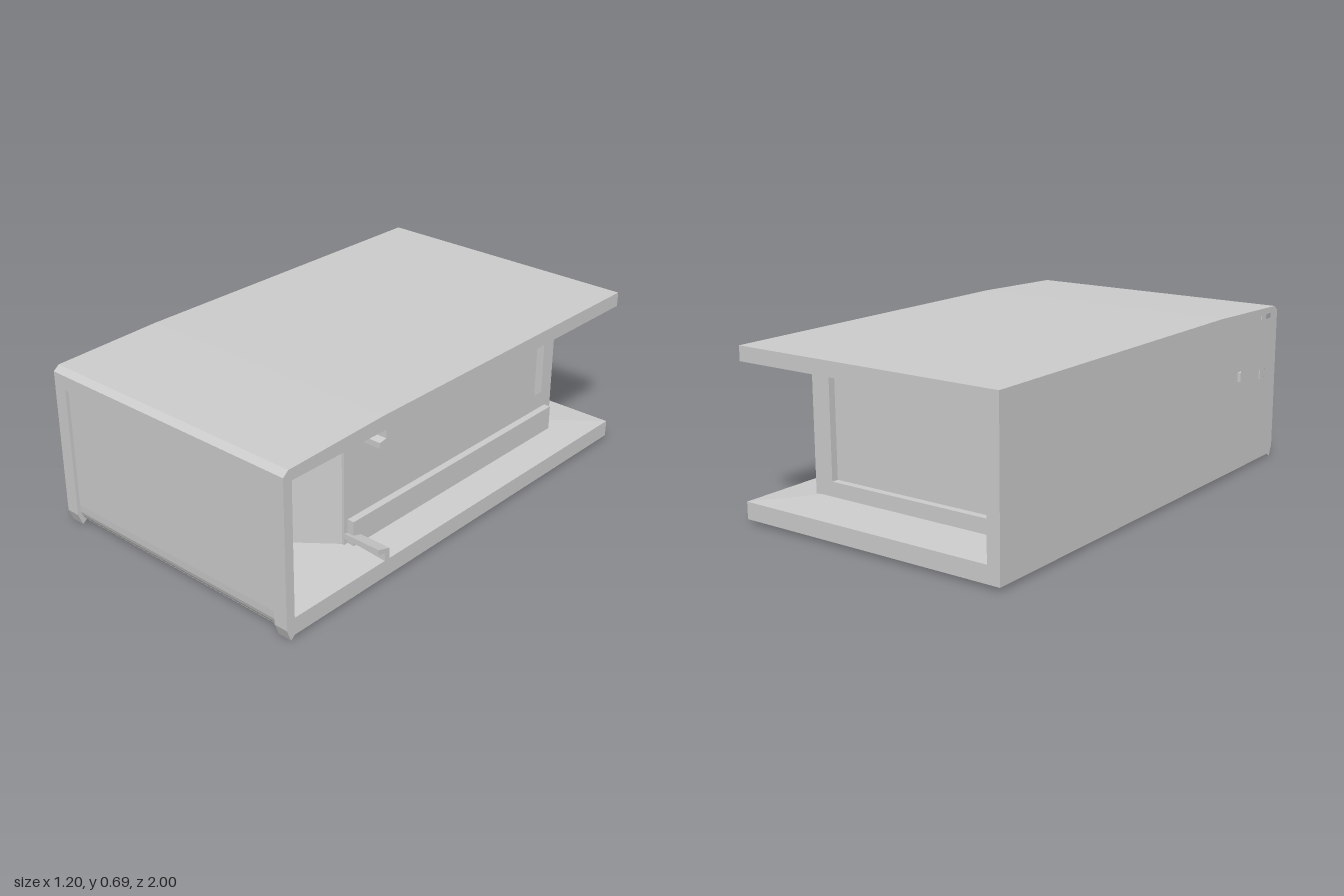
import * as THREE from 'three';

const material = new THREE.MeshStandardMaterial({ color: 0xcccccc });
const thinMaterial = new THREE.MeshStandardMaterial({ color: 0xcccccc, side: THREE.DoubleSide });

const rect = (u0, u1, v0, v1) => [[u0, v0], [u1, v0], [u1, v1], [u0, v1]];
const toVectors = (pts, sign) => pts.map(([u, v]) => new THREE.Vector2(sign[0] * u, sign[1] * v));

function extrude(pts, depth, holes, sign) {
  const shape = new THREE.Shape(toVectors(pts, sign));
  for (const h of holes) shape.holes.push(new THREE.Path(toVectors(h, sign)));
  return new THREE.ExtrudeGeometry(shape, { depth, bevelEnabled: false });
}

// Outline in (z, y), running from x0 to x1
const alongX = (pts, x0, x1, holes = []) =>
  extrude(pts, x1 - x0, holes, [-1, 1]).rotateY(Math.PI / 2).translate(x0, 0, 0);
// Outline in (x, z), running from y0 to y1
const alongY = (pts, y0, y1) =>
  extrude(pts, y1 - y0, [], [1, -1]).rotateX(-Math.PI / 2).translate(0, y0, 0);
// Outline in (x, y), running from z0 to z1
const alongZ = (pts, z0, z1, holes = []) =>
  extrude(pts, z1 - z0, holes, [1, 1]).translate(0, 0, z0);

// Gently sloping lining of the floor, higher towards the inside; mirrored for the ceiling
function lining(isCeiling) {
  const rise = 0.03;
  const y = (h) => (isCeiling ? 0.63 - h : 0.085 + h);
  const p = [
    [0.6, y(0), -1], [0.6, y(0), 0.96], [0.2, y(rise), 0.96], [0.2, y(rise), -0.6],
    [-0.55, y(rise), -0.6], [-0.55, y(0), -1],
  ];
  const tris = [[0, 2, 1], [0, 3, 2], [0, 4, 3], [0, 5, 4]];
  const pos = tris.flatMap(([a, b, c]) => (isCeiling ? [a, c, b] : [a, b, c]).flatMap((i) => p[i]));
  const geo = new THREE.BufferGeometry();
  geo.setAttribute('position', new THREE.Float32BufferAttribute(pos, 3));
  geo.computeVertexNormals();
  return geo;
}

export function createModel() {
  const group = new THREE.Group();
  const add = (name, geometry, mat = material) => {
    const mesh = new THREE.Mesh(geometry, mat);
    mesh.name = name;
    group.add(mesh);
  };

  // Closed side wall with a window recess and two slots
  const topEdge = [[1, 0.655], [0.975, 0.675], [0.5, 0.69], [-1, 0.69]];
  const foot = [[0.96, 0.015], [0.98, 0], [1, 0.05]];
  add('sideWall', alongX([[-1, 0.015], ...foot, ...topEdge], -0.6, -0.55, [
    rect(-0.24, 0.68, 0.27, 0.51),
    rect(0.75, 0.9, 0.375, 0.415),
    rect(-0.9, 0.94, 0.63, 0.65),
  ]));
  add('wallLip', alongY([[-0.55, -1], [-0.545, -1], [-0.53, -0.8], [-0.55, -0.8]], 0.085, 0.63));

  // Roof and floor slabs with sloped linings
  add('roof', alongX([[-1, 0.63], [0.96, 0.63], [0.96, 0.595], [1, 0.595], ...topEdge], -0.55, 0.6));
  add('floor', alongX(rect(-1, 0.96, 0.015, 0.085), -0.55, 0.6));
  add('floorLining', lining(false), thinMaterial);
  add('ceilingLining', lining(true), thinMaterial);

  // Front posts with feet, and the recessed panel curling under at the bottom
  const post = [...foot, [1, 0.595], [0.96, 0.595]];
  add('leftPost', alongX(post, 0.54, 0.6));
  add('rightPost', alongX(post, -0.55, -0.54));
  add('frontPanel', alongX([
    [0.95, 0.015], [0.957, 0.016], [0.968, 0.025], [0.978, 0.04], [0.984, 0.058], [0.986, 0.09],
    [0.986, 0.6], [0.95, 0.6],
  ], -0.54, 0.54));

  // Inner block with a V-shaped bay near the front
  add('innerBlock', alongY([
    [-0.55, 0.95], [0.42, 0.95], [0.2, 0.74], [0.2, 0.73], [0.42, 0.52], [0.37, 0.52],
    [0.37, -0.77], [-0.55, -0.77],
  ], 0.06, 0.65));

  // Long side panel; its window opening narrows inwards
  const sidePanel = alongX(rect(-0.8, 0.52, 0.06, 0.65), 0.37, 0.43, [rect(-0.73, 0.47, 0.27, 0.56)]);
  const pos = sidePanel.attributes.position;
  for (let i = 0; i < pos.count; i++) {
    const y = pos.getY(i), z = pos.getZ(i);
    if (pos.getX(i) < 0.4 && y > 0.1 && y < 0.6) {
      pos.setY(i, y + (y < 0.4 ? 0.014 : -0.014));
      pos.setZ(i, z + (z < 0 ? 0.014 : -0.014));
    }
  }
  sidePanel.computeVertexNormals();
  add('sidePanel', sidePanel);
  add('sideLedge', alongX(rect(-0.76, 0.5, 0.08, 0.2), 0.42, 0.46));

  // Back panel with a shallow recess
  add('backPanel', alongZ(rect(-0.55, 0.43, 0.06, 0.65), -0.8, -0.77, [rect(-0.515, 0.345, 0.16, 0.57)]));

  // Hooked rails at the bay, one at the floor and one mirrored at the ceiling
  const rail = [[0.485, 0.08], [0.485, 0.12], [0.52, 0.125], [0.52, 0.148], [0.46, 0.13], [0.46, 0.08]];
  add('lowerRail', alongX(rail, 0.36, 0.6));
  add('upperRail', alongX(rail.map(([z, y]) => [z, 0.715 - y]), 0.36, 0.6));

  return group;
}
